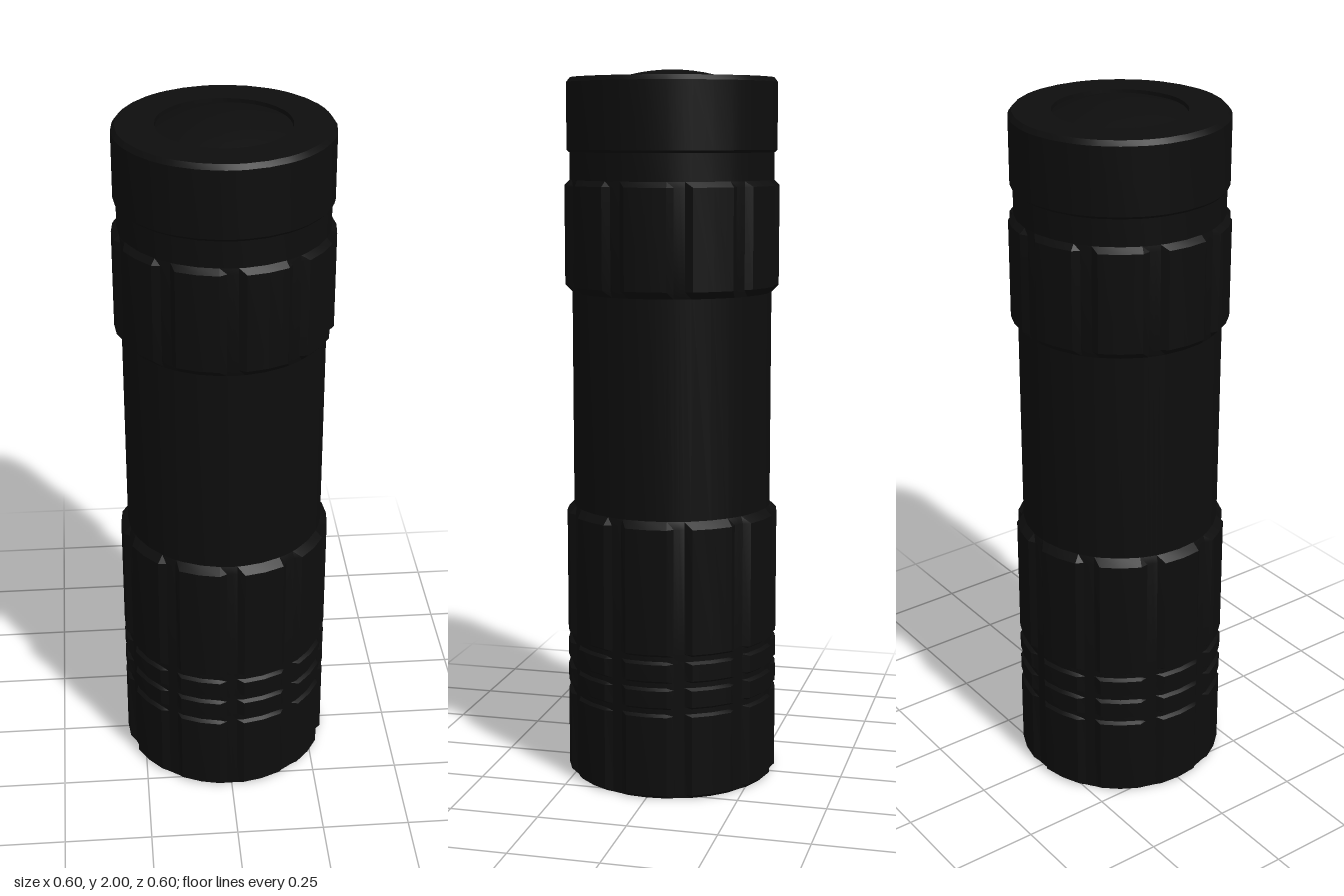
import * as THREE from 'three';
import { toCreasedNormals } from 'three/addons/utils/BufferGeometryUtils.js';

const FLUTES = 10;
const FLUTE_FLOOR = 0.287;
// angles inside one flute period, in degrees; the flute is centred on 0
const STEPS = [0, 3, 6.8, 18, 29.2, 33];

export function createModel() {
  const group = new THREE.Group();
  group.name = 'flashlight';
  const material = new THREE.MeshStandardMaterial({ color: 0x0d0d0d });

  // Turned part from [radius, y] points (bottom to top), optionally fluted
  function turned(name, profile, fluted = false) {
    const points = profile.map(([r, y]) => new THREE.Vector2(r, y));
    const segments = FLUTES * STEPS.length;
    const geometry = new THREE.LatheGeometry(points, segments);
    const pos = geometry.attributes.position;
    for (let i = 0; i <= segments; i++) {
      const step = i % STEPS.length;
      const turn = Math.floor(i / STEPS.length) % FLUTES;
      const angle = THREE.MathUtils.degToRad(turn * 36 + STEPS[step]);
      const inFlute = fluted && (step < 2 || step === 5);
      points.forEach((p, j) => {
        const r = inFlute ? Math.min(p.x, FLUTE_FLOOR) : p.x;
        pos.setXYZ(i * points.length + j, r * Math.sin(angle), p.y, r * Math.cos(angle));
      });
    }
    const mesh = new THREE.Mesh(toCreasedNormals(geometry, 0.45), material);
    mesh.name = name;
    group.add(mesh);
  }

  // Fluted head with three ring grooves
  const head = [[0, 0], [0.29, 0], [0.3, 0.01]];
  for (const y of [0.25, 0.325, 0.4]) {
    head.push([0.3, y - 0.014], [0.29, y - 0.007], [0.29, y + 0.007], [0.3, y + 0.014]);
  }
  head.push([0.3, 0.765], [0.28, 0.785], [0, 0.785]);
  turned('head', head, true);

  // Plain barrel, reaching up through the collar as the neck
  turned('barrel', [[0.28, 0.77], [0.28, 1.42]]);
  turned('neck', [[0.285, 1.68], [0.285, 1.79]]);

  // Fluted collar
  turned('collar', [
    [0, 1.39], [0.28, 1.39], [0.3, 1.41], [0.3, 1.685], [0.285, 1.7], [0, 1.7],
  ], true);

  // Tail cap with a shallow seat for the button
  turned('tailCap', [
    [0, 1.775], [0.287, 1.775], [0.293, 1.782], [0.293, 1.965], [0.283, 1.978],
    [0.18, 1.978], [0.18, 1.96], [0, 1.96],
  ]);

  // Domed button
  const dome = [[0.178, 1.958]];
  for (let i = 6; i >= 0; i--) {
    const t = i / 6;
    dome.push([0.178 * t, 2 - 0.032 * t * t]);
  }
  turned('button', dome);

  return group;
}
